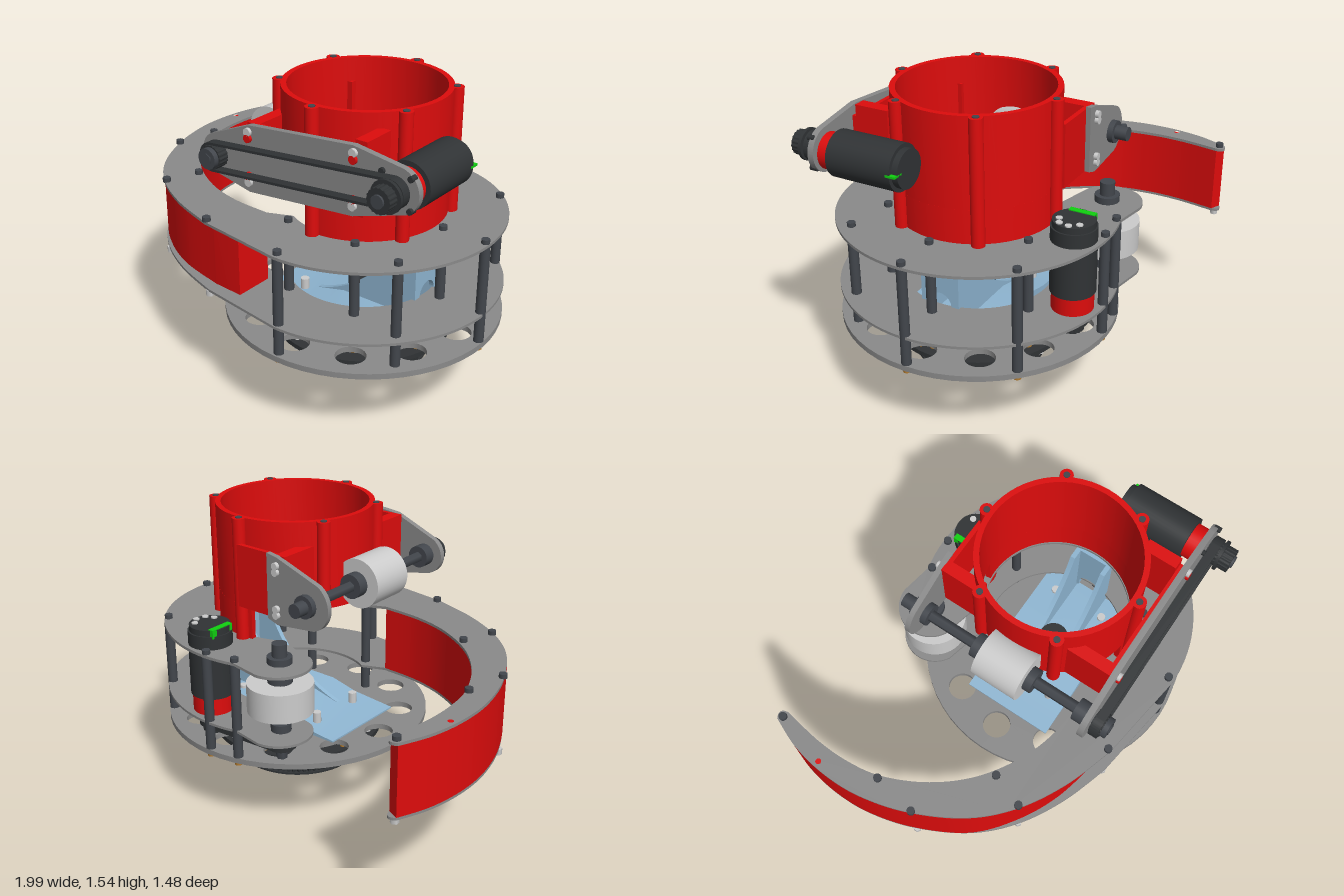
import * as THREE from 'three';
import { toCreasedNormals } from 'three/addons/utils/BufferGeometryUtils.js';

const mat = (color) => new THREE.MeshStandardMaterial({ color });
const RED = mat(0xdd0c0c), DARK = mat(0x303335), POST = mat(0x42464c), PLATE = mat(0x8a8a8a);
const BLUE = mat(0x8fb6d2), GREY = mat(0xcccccc), GOLD = mat(0xb07a30), GREEN = mat(0x10d010);
const CX = 0.315, CZ = 0.06; // turret axis
const PI = Math.PI;

export function createModel() {
  const root = new THREE.Group();
  const add = (name, geo, m) => {
    const mesh = new THREE.Mesh(geo, m);
    mesh.name = name;
    root.add(mesh);
    return mesh;
  };
  const box = (name, m, x0, x1, y0, y1, z0, z1) =>
    add(name, new THREE.BoxGeometry(x1 - x0, y1 - y0, z1 - z0), m)
      .position.set((x0 + x1) / 2, (y0 + y1) / 2, (z0 + z1) / 2);
  // upright cylinder and cylinder along z
  const rod = (name, m, x, z, r, y0, y1, n = 24) =>
    add(name, new THREE.CylinderGeometry(r, r, y1 - y0, n), m).position.set(x, (y0 + y1) / 2, z);
  const axle = (name, m, x, y, r, z0, z1, n = 24) =>
    add(name, new THREE.CylinderGeometry(r, r, z1 - z0, n).rotateX(PI / 2), m).position.set(x, y, (z0 + z1) / 2);
  const extrude = (shape, depth) => toCreasedNormals(
    new THREE.ExtrudeGeometry(shape, { depth, bevelEnabled: false, curveSegments: 28 }), 0.5);
  // horizontal slab from a shape drawn in (x, -z)
  const slab = (name, m, shape, y0, y1) =>
    add(name, extrude(shape, y1 - y0).rotateX(-PI / 2), m).position.set(0, y0, 0);
  const upright = (name, m, shape, z0, z1) => add(name, extrude(shape, z1 - z0), m).position.set(0, 0, z0);
  const hole = (s, x, y, r) => { s.holes.push(new THREE.Path().absarc(x, y, r, 0, PI * 2, true)); return s; };
  const disc = (x, y, r) => new THREE.Shape().absarc(x, y, r, 0, PI * 2, false);
  const poly = (pts) => new THREE.Shape(pts.map((p) => new THREE.Vector2(...p)));
  const vecs = (pts) => pts.map(([x, z]) => new THREE.Vector2(x, -z));
  // loop around two wheels
  const loopPath = (P, x1, y1, x2, y2, r) => {
    const a = Math.atan2(y2 - y1, x2 - x1), p = new P();
    p.absarc(x2, y2, r, a - PI / 2, a + PI / 2, false);
    p.absarc(x1, y1, r, a + PI / 2, a + 1.5 * PI, false);
    return p;
  };
  const beltShape = (x1, y1, x2, y2, r) => {
    const s = loopPath(THREE.Shape, x1, y1, x2, y2, r);
    s.holes.push(loopPath(THREE.Path, x1, y1, x2, y2, r - 0.012));
    return s;
  };
  const gear = (x, y, r, n, depth) => {
    const pts = [];
    for (let i = 0; i < n * 4; i++) {
      const a = (i / (n * 4)) * PI * 2, q = i % 4 < 2 ? r : r * 0.95;
      pts.push([x + Math.cos(a) * q, y + Math.sin(a) * q]);
    }
    return poly(pts);
  };

  // slip-ring wires and hub
  [0xc03010, 0x208030, 0x2050b0, 0xd0b020, 0x806040, 0x999999].forEach((c, i) =>
    rod('wire', mat(c), CX + 0.02 * Math.cos(i * PI / 3), CZ + 0.02 * Math.sin(i * PI / 3), 0.01, 0, 0.08, 8));
  rod('hubTip', DARK, CX, CZ, 0.032, 0.065, 0.13);
  rod('hubCollar', POST, CX, CZ, 0.075, 0.125, 0.155);
  rod('hubFlange', POST, CX, CZ, 0.13, 0.15, 0.17);
  rod('hubTop', DARK, CX, CZ, 0.075, 0.4, 0.56);

  // big drive pulley and bearing
  slab('drivePulley', DARK, gear(CX, -CZ, 0.318, 72), 0.17, 0.26);
  for (const y of [0.163, 0.255]) rod('pulleyFlange', DARK, CX, CZ, 0.326, y, y + 0.01, 64);
  rod('bearingNeck', POST, CX, CZ, 0.24, 0.26, 0.315, 48);
  rod('bearingRing', DARK, CX, CZ, 0.44, 0.312, 0.335, 64);
  rod('bearingCap', PLATE, CX, CZ, 0.37, 0.335, 0.365, 64);
  rod('bearingSpacer', GREY, CX, CZ, 0.34, 0.365, 0.402, 64);
  for (let i = 0; i < 12; i++) {
    const a = (i + 0.5) * PI / 6, c = Math.cos(a), s = Math.sin(a);
    rod('ringBolt', i % 2 ? GREY : GOLD, CX + c * 0.4, CZ + s * 0.4, 0.016, i % 2 ? 0.28 : 0.3, 0.35, 10);
  }

  // round base plate with lightening holes
  const base = disc(CX, -CZ, 0.678);
  for (let i = 0; i < 12; i++) hole(base, CX + 0.535 * Math.cos(i * PI / 6), -CZ + 0.535 * Math.sin(i * PI / 6), 0.072);
  slab('basePlate', PLATE, base, 0.4, 0.428);

  // hooked upper and lower plates
  const outer = [[-0.15, 0.67], [-0.4, 0.585], [-0.62, 0.46], [-0.79, 0.29], [-0.92, 0.05], [-0.985, -0.18], [-0.995, -0.38], [-0.965, -0.57], [-0.902, -0.73]];
  const inner = [[-0.848, -0.705], [-0.88, -0.5], [-0.882, -0.32], [-0.85, -0.15], [-0.75, 0.05], [-0.6, 0.22], [-0.4, 0.345], [-0.2, 0.405], [0.01, 0.42]];
  const hook = new THREE.Shape();
  hook.moveTo(0.14, 0.592);
  hook.absarc(CX, -CZ, 0.675, 1.83, -PI / 2, true);
  hook.lineTo(-0.15, -0.67);
  hook.splineThru(vecs(outer.slice(1)));
  hook.quadraticCurveTo(-0.855, 0.76, -0.848, 0.705);
  hook.splineThru(vecs(inner.slice(1)));
  hook.absarc(CX, -CZ, 0.36, -2.1, 2.05, false);
  hook.lineTo(-0.1, 0.32);
  hook.absarc(-0.02, 0.46, 0.16, 4.2, PI / 2, true);
  hole(hook, -0.96, 0.44, 0.014);
  slab('lowerHookPlate', PLATE, hook, 0.567, 0.58);
  slab('upperHookPlate', PLATE, hook, 0.918, 0.932);

  // red filler between the hook plates
  const filler = new THREE.Shape();
  filler.moveTo(0.01, -0.62);
  filler.lineTo(-0.15, -0.61);
  filler.splineThru(vecs([[-0.4, 0.55], [-0.61, 0.445], ...outer.slice(3)]));
  filler.lineTo(-0.848, 0.705);
  filler.splineThru(vecs(inner.slice(1)));
  slab('hookFiller', RED, filler, 0.58, 0.918);
  for (const [x, z] of [[-0.15, 0.655], [-0.55, 0.29], [-0.61, 0.455], [-0.87, -0.16], [-0.91, 0.06], [-0.88, -0.71]]) {
    rod('hookBolt', POST, x, z, 0.02, 0.93, 0.953, 10);
    rod('hookNut', GREY, x, z, 0.02, 0.54, 0.57, 6);
  }

  // standoff posts
  for (const [x, z] of [[0.315, 0.705], [0.315, -0.595], [0.78, 0.46], [0.78, -0.4], [0.97, 0.06], [0.75, 0.06], [0.53, -0.32], [0.53, 0.43], [0.15, -0.575], [0.15, 0.43]]) {
    rod('post', POST, x, z, 0.024, 0.428, 0.918, 16);
    rod('postBolt', POST, x, z, 0.02, 0.93, 0.953, 10);
    rod('postFoot', GOLD, x, z, 0.018, 0.385, 0.402, 10);
  }

  // blue ramp: floor, two curved fins, back wall with arch
  upright('rampFloor', BLUE, poly([[-0.12, 0.428], [0.68, 0.428], [0.68, 0.49], [0.27, 0.49], [0.12, 0.455], [-0.12, 0.436]]), -0.185, 0.3);
  const fin = new THREE.Shape();
  fin.moveTo(0, 0.43);
  fin.bezierCurveTo(0.3, 0.48, 0.48, 0.62, 0.6, 0.918);
  fin.lineTo(0.66, 0.918);
  fin.lineTo(0.66, 0.43);
  for (const z of [-0.04, 0.135]) upright('rampFin', BLUE, fin, z, z + 0.025);
  const wall = poly([[-0.1, 0.49], [-0.1, 0.918], [0.1, 0.918], [0.1, 0.49], [0.06, 0.53], [0.06, 0.58]]);
  wall.absarc(0, 0.58, 0.06, 0, PI, false);
  wall.lineTo(-0.06, 0.53);
  add('rampBackWall', extrude(wall, 0.025).rotateY(PI / 2), BLUE).position.set(0.655, 0, CZ);
  for (const x of [0.06, 0.57]) for (const z of [-0.09, 0.2]) rod('rampBolt', GREY, x, z, 0.022, 0.44, 0.505, 10);

  // red barrel: full ring above, half ring below, with bolt bosses
  slab('barrel', RED, hole(disc(CX, -CZ, 0.392), CX, -CZ, 0.365), 1.1, 1.538);
  const half = new THREE.Shape();
  half.absarc(CX, -CZ, 0.392, -1.7, 1.7, false);
  half.absarc(CX, -CZ, 0.365, 1.7, -1.7, true);
  slab('barrelSkirt', RED, half, 0.932, 1.1);
  for (let i = 0; i < 6; i++) {
    const a = PI / 6 + i * PI / 3, x = CX + 0.402 * Math.cos(a), z = CZ + 0.402 * Math.sin(a);
    rod('barrelBoss', RED, x, z, 0.032, x > 0.2 ? 0.932 : 1.1, 1.538);
    rod('bossBolt', POST, x, z, 0.016, 1.53, 1.542, 10);
    if (x > 0.2) rod('bossFoot', GOLD, x, z, 0.018, 0.9, 0.92, 10);
  }

  // mounting brackets joining barrel and side plates
  box('bracketSide', RED, 0, 0.06, 1.12, 1.41, 0.3, 0.5);
  box('bracketSide', RED, 0.575, 0.635, 1.13, 1.465, 0.33, 0.5);
  box('bracketFace', RED, 0, 0.635, 1.13, 1.41, 0.5, 0.52);
  box('rearBracketSide', RED, 0, 0.06, 1.11, 1.42, -0.36, -0.17);
  box('rearBracketFace', RED, 0, 0.3, 1.11, 1.42, -0.378, -0.355);

  // front and rear side plates
  const side = new THREE.Shape();
  side.moveTo(0.03, 1.09);
  side.lineTo(0.6, 1.14);
  side.absarc(0.82, 1.32, 0.107, -1.1, 1.3, false);
  side.lineTo(0.6, 1.46);
  side.lineTo(0.03, 1.41);
  side.absarc(-0.15, 1.23, 0.1, 2.1, 4.4, false);
  upright('frontSidePlate', PLATE, side, 0.52, 0.55);
  const rear = poly([[0.03, 1.09], [0.09, 1.11], [0.09, 1.43], [0.03, 1.42]]);
  rear.absarc(-0.15, 1.23, 0.122, 2.1, 4.4, false);
  upright('rearSidePlate', PLATE, rear, -0.402, -0.376);
  for (const [x, ys] of [[0.03, [1.14, 1.17, 1.35, 1.38]], [0.605, [1.19, 1.22, 1.4, 1.43]]]) {
    ys.forEach((y, i) => {
      axle('plateBolt', i % 3 ? RED : GREY, x, y, 0.02, 0.53, 0.565, 10);
      if (x < 0.1) axle('rearPlateBolt', GREY, x, y, 0.018, -0.42, -0.39, 10);
    });
  }

  // roller on its cross shaft
  axle('rollerShaft', POST, -0.15, 1.23, 0.028, -0.49, 0.64, 6);
  axle('roller', GREY, -0.15, 1.23, 0.122, -0.035, 0.2, 40);
  for (const [z0, z1, r] of [[-0.49, -0.43, 0.034], [-0.43, -0.4, 0.055], [-0.37, -0.34, 0.055], [-0.09, -0.035, 0.06], [0.2, 0.24, 0.06], [0.46, 0.52, 0.055], [0.6, 0.635, 0.05]])
    axle('shaftCollar', POST, -0.15, 1.23, r, z0, z1);

  // belt drive on the front side plate
  upright('rollerPulley', DARK, gear(-0.15, 1.23, 0.058, 18), 0.555, 0.61);
  upright('motorPulley', DARK, gear(0.82, 1.32, 0.058, 18), 0.555, 0.68);
  axle('pulleyFlange', DARK, 0.82, 1.32, 0.075, 0.615, 0.63);
  axle('motorPulleyHub', POST, 0.82, 1.32, 0.03, 0.68, 0.69);
  upright('frontBelt', DARK, beltShape(-0.15, 1.23, 0.82, 1.32, 0.07), 0.56, 0.605);
  for (let i = 0; i < 4; i++) {
    const a = PI / 4 + i * PI / 2;
    axle('motorScrew', DARK, 0.82 + 0.1 * Math.cos(a), 1.32 + 0.1 * Math.sin(a), 0.014, 0.53, 0.565, 8);
  }

  // horizontal motor
  axle('motorBody', DARK, 0.815, 1.31, 0.108, 0.13, 0.46, 40);
  axle('motorCap', DARK, 0.815, 1.31, 0.09, 0.1, 0.13, 40);
  axle('motorMount', RED, 0.815, 1.31, 0.085, 0.46, 0.52, 32);
  box('motorLight', GREEN, 0.87, 0.925, 1.305, 1.315, 0.1, 0.15);

  // upright motor
  rod('uprightMotorMount', RED, 0.4, -0.48, 0.1, 0.58, 0.67, 32);
  rod('uprightMotorBody', DARK, 0.4, -0.48, 0.108, 0.67, 1.0, 40);
  rod('uprightMotorCap', DARK, 0.4, -0.48, 0.1, 1.0, 1.03, 40);
  box('uprightMotorLight', GREEN, 0.31, 0.34, 0.99, 1.034, -0.55, -0.42);
  for (const [x, z] of [[0.43, -0.42], [0.47, -0.44], [0.48, -0.49], [0.45, -0.53]])
    rod('motorTerminal', GREY, x, z, 0.016, 1.03, 1.036, 12);
  slab('uprightMotorPulley', DARK, gear(0.4, 0.48, 0.058, 18), 0.46, 0.56);

  // upright feed roller and belt
  rod('feedShaft', POST, -0.02, -0.45, 0.028, 0.43, 1.03, 6);
  rod('feedRoller', GREY, -0.02, -0.45, 0.16, 0.69, 0.835, 40);
  for (const [y0, y1, r] of [[0.58, 0.62, 0.05], [0.65, 0.69, 0.06], [0.835, 0.87, 0.06], [0.93, 0.965, 0.06], [0.965, 1.03, 0.036]])
    rod('feedCollar', POST, -0.02, -0.45, r, y0, y1);
  slab('feedPulley', DARK, gear(-0.02, 0.45, 0.065, 20), 0.485, 0.55);
  slab('feedBelt', DARK, beltShape(-0.02, 0.45, 0.4, 0.48, 0.074), 0.495, 0.54);

  return root;
}
